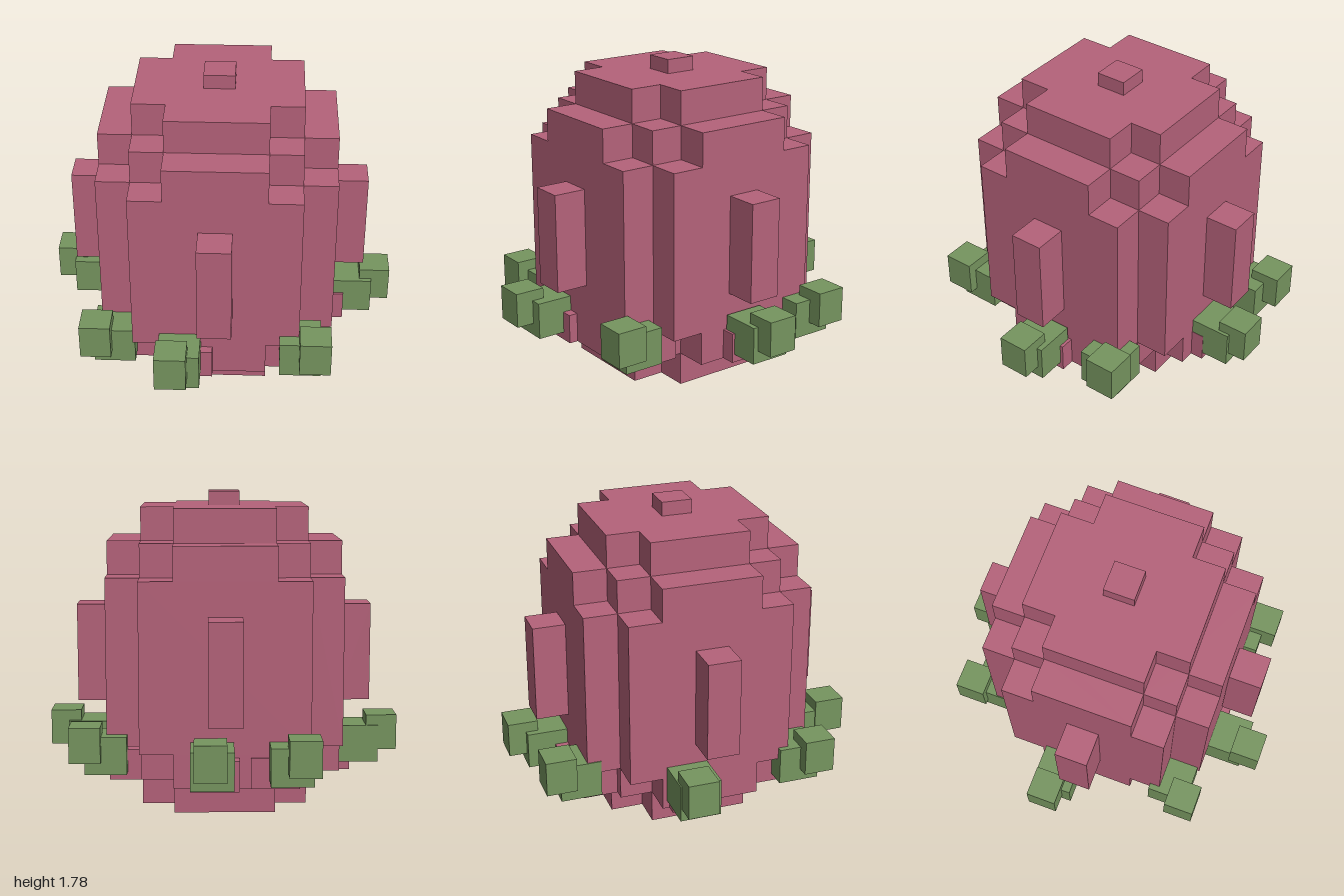
import * as THREE from 'three';

const pink = new THREE.MeshStandardMaterial({ color: 0xb5627a });
pink.name = 'rose pink';
const green = new THREE.MeshStandardMaterial({ color: 0x76955f });
green.name = 'leaf green';

// The body is centred slightly off the origin
const CX = -0.01, CZ = 0.01;

// Stepped outline: outer corners of one quadrant, turned through four quarter turns
function steppedShape(corners) {
  const quadrant = [];
  corners.forEach(([x, z], i) => {
    if (i > 0) quadrant.push([x, corners[i - 1][1]]);
    quadrant.push([x, z]);
  });
  const points = [];
  for (let q = 0; q < 4; q++) {
    for (const [x, z] of quadrant) {
      const [a, b] = [[x, z], [-z, x], [-x, -z], [z, -x]][q];
      points.push(new THREE.Vector2(a, b));
    }
  }
  return new THREE.Shape(points);
}

function tier(name, corners, y0, y1) {
  const geometry = new THREE.ExtrudeGeometry(steppedShape(corners), { depth: y1 - y0, bevelEnabled: false });
  geometry.rotateX(-Math.PI / 2);
  const mesh = new THREE.Mesh(geometry, pink);
  mesh.name = name;
  mesh.position.set(CX, y0, CZ);
  return mesh;
}

function block(name, material, w, h, d, x, y, z) {
  const mesh = new THREE.Mesh(new THREE.BoxGeometry(w, h, d), material);
  mesh.name = name;
  mesh.position.set(x, y, z);
  return mesh;
}

export function createModel() {
  const model = new THREE.Group();
  model.name = 'blockyPlant';

  // Rounded body made of stacked stepped tiers
  const small = [[0.47, 0.283], [0.283, 0.47]];
  const middle = [[0.66, 0.283], [0.47, 0.47], [0.283, 0.66]];
  const wide = [[0.66, 0.47], [0.47, 0.66]];
  const body = new THREE.Group();
  body.name = 'body';
  body.add(
    tier('baseTier', small, 0, 0.19),
    tier('lowerTier', middle, 0.19, 0.38),
    tier('mainTier', wide, 0.38, 1.327),
    tier('upperTier', middle, 1.327, 1.516),
    tier('crownTier', small, 1.516, 1.705),
    block('topNub', pink, 0.175, 0.18, 0.175, CX, 1.695, CZ)
  );

  // One upright rib on each side
  for (let i = 0; i < 4; i++) {
    const a = (i * Math.PI) / 2;
    body.add(block('sideRib', pink, 0.188, 0.565, 0.188,
      CX + 0.756 * Math.cos(a), 0.853, CZ + 0.756 * Math.sin(a)));
  }
  model.add(body);

  // Eight stepped leaves around the foot, given by their tip centres (x, z)
  const tips = [
    [0.9125, 0.0075], [0.55, 0.7425], [-0.2475, 0.8975], [-0.6875, 0.6325],
    [-0.9125, -0.1525], [-0.4325, -0.8075], [0.0725, -0.9025], [0.765, -0.4825]
  ];
  for (const [x, z] of tips) {
    const leaf = new THREE.Group();
    leaf.name = 'leaf';
    leaf.add(
      block('leafRoot', pink, 0.268, 0.172, 0.268, x * 0.655, 0.276, z * 0.655),
      block('leafMiddle', green, 0.235, 0.213, 0.235, x * 0.852, 0.343, z * 0.852),
      block('leafTip', green, 0.175, 0.202, 0.175, x, 0.41, z)
    );
    model.add(leaf);
  }
  return model;
}
